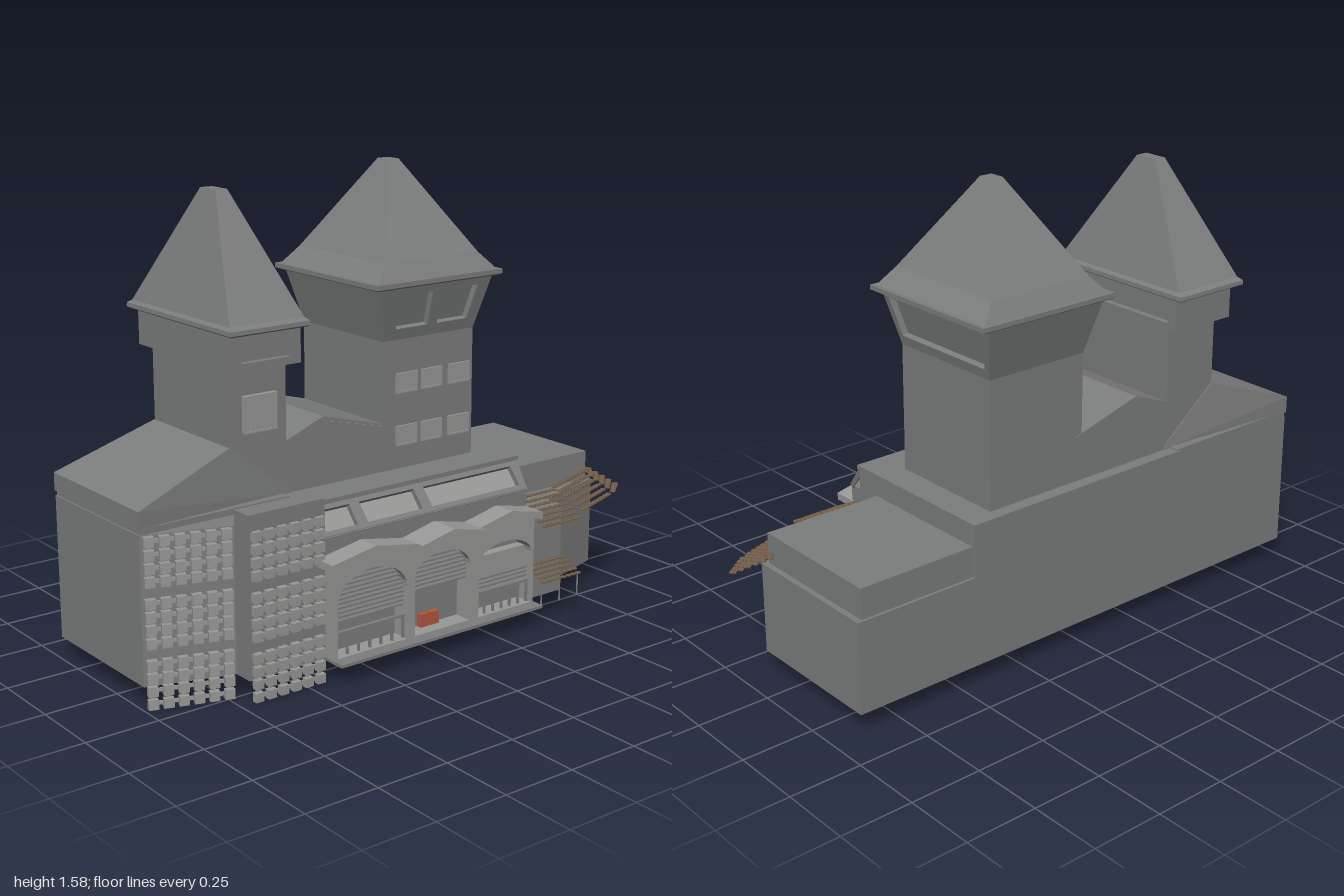
import * as THREE from 'three';
import { ConvexGeometry } from 'three/addons/geometries/ConvexGeometry.js';

const V2 = (a) => a.map(([x, y]) => new THREE.Vector2(x, y));
const mix = THREE.MathUtils.lerp;
const rect = (x0, x1, y0, y1) => [[x0, y0], [x1, y0], [x1, y1], [x0, y1]];

export function createModel() {
  const model = new THREE.Group();
  model.name = 'twinTowerBuilding';
  const paint = (color) => new THREE.MeshStandardMaterial({ color, flatShading: true });
  const stone = paint(0x7c7e7d), light = paint(0x989997), wood = paint(0x75604a), orange = paint(0xb0583f);

  const add = (name, geo, parent = model, mat = stone) => {
    const mesh = new THREE.Mesh(geo, mat);
    mesh.name = name;
    parent.add(mesh);
    return mesh;
  };
  const group = (name) => {
    const g = new THREE.Group();
    g.name = name;
    model.add(g);
    return g;
  };
  const box = (name, x0, x1, y0, y1, z0, z1, parent, mat) =>
    add(name, new THREE.BoxGeometry(x1 - x0, y1 - y0, z1 - z0)
      .translate((x0 + x1) / 2, (y0 + y1) / 2, (z0 + z1) / 2), parent, mat);
  // Flat panel with holes, front face at z = 0
  const panel = (outline, holes, depth) => {
    const s = new THREE.Shape(V2(outline));
    holes.forEach((h) => s.holes.push(new THREE.Path(V2(h))));
    return new THREE.ExtrudeGeometry(s, { depth, bevelEnabled: false }).translate(0, 0, -depth);
  };
  // Footprint given in x, z and raised from y0 to y1
  const prism = (name, pts, y0, y1) => add(name,
    new THREE.ExtrudeGeometry(new THREE.Shape(V2(pts.map(([x, z]) => [x, -z]))),
      { depth: y1 - y0, bevelEnabled: false }).rotateX(-Math.PI / 2).translate(0, y0, 0));
  // Stack of rectangles [y, halfX, halfZ] joined by flat sides
  const loft = (name, cx, cz, rows, parent) => {
    const pos = [], idx = [];
    rows.forEach(([y, hx, hz]) =>
      [[-1, 1], [1, 1], [1, -1], [-1, -1]].forEach(([a, b]) => pos.push(cx + a * hx, y, cz + b * hz)));
    for (let r = 0; r < rows.length - 1; r++) {
      for (let k = 0; k < 4; k++) {
        const a = r * 4 + k, b = r * 4 + (k + 1) % 4;
        idx.push(a, b, b + 4, a, b + 4, a + 4);
      }
    }
    const t = rows.length * 4 - 4;
    idx.push(0, 2, 1, 0, 3, 2, t, t + 1, t + 2, t, t + 2, t + 3);
    let g = new THREE.BufferGeometry();
    g.setAttribute('position', new THREE.Float32BufferAttribute(pos, 3));
    g.setIndex(idx);
    g = g.toNonIndexed();
    g.computeVertexNormals();
    return add(name, g, parent);
  };

  // Main blocks
  prism('mainBody', [[-0.99, -0.37], [0.45, -0.37], [0.45, 0.235], [-0.42, 0.235], [-0.42, 0.31],
    [-0.71, 0.31], [-0.71, 0.24], [-0.99, 0.15]], 0.08, 0.565);
  prism('rightWing', [[0.44, -0.37], [0.9, -0.37], [0.9, 0.15], [0.6, 0.24], [0.6, 0.31], [0.44, 0.31]], 0.08, 0.395);
  box('rightWingUpper', 0.45, 0.88, 0.39, 0.5, -0.36, 0.14);
  box('entranceCore', -0.42, 0.43, 0.08, 0.42, 0.2, 0.29);
  box('entranceFrieze', -0.42, 0.43, 0.4, 0.485, 0.2, 0.31);
  box('roofSlab', -0.45, 0.455, 0.565, 0.58, -0.375, 0.24);
  box('leftRoofSlab', -0.985, -0.44, 0.56, 0.585, -0.37, 0.15);
  box('screenParapet', -0.71, -0.425, 0.56, 0.615, 0.24, 0.315);

  // Sloped roof on the left, tapering in around the small tower
  const wedge = [];
  [[-0.99, 0.58, 0.15, -0.375], [-0.99, 0.64, 0.15, -0.375], [-0.635, 0.768, 0.111, -0.333],
    [-0.4, 0.58, 0.111, -0.333]].forEach(([x, y, zf, zb]) =>
    [zf, zb].forEach((z) => wedge.push(new THREE.Vector3(x, y, z))));
  add('leftRoof', new ConvexGeometry(wedge));

  // Gable between the towers
  const gable = group('gable');
  add('gableWall', panel([[-0.43, 0.57], [0, 0.57], [0, 0.735], [-0.2, 0.79], [-0.275, 0.81], [-0.43, 0.75]], [], 0.44)
    .translate(0, 0, 0.108), gable);
  for (let i = 0; i < 7; i++) {
    const x = -0.25 + i * 0.033;
    box('gableBatten', x, x + 0.01, 0.59, 0.79 - i * 0.008, 0.1, 0.122, gable);
  }

  // Tower head: four leaning wall panels around a smaller core, openings at the front and +x
  const towerHead = (parent, cx, cz, y0, y1, [ax, az], [bx, bz], frontHoles, sideHoles) => {
    const d = 0.022;
    loft('headCore', cx, cz, [[y0, ax - d, az - d], [y1, bx - d, bz - d]], parent);
    [[ax, bx, az, bz, frontHoles], [az, bz, ax, bx, sideHoles], [ax, bx, az, bz, []], [az, bz, ax, bx, []]]
      .forEach(([w0, w1, out0, out1, holes], k) => {
        const h = Math.hypot(y1 - y0, out1 - out0);
        add('headWall', panel([[-w0, 0], [w0, 0], [w1, h], [-w1, h]], holes, d)
          .rotateX(Math.atan2(out1 - out0, y1 - y0)).translate(0, 0, out0)
          .rotateY(k * Math.PI / 2).translate(cx, y0, cz), parent);
      });
  };
  // Framed pale window with vertical bars
  const barredWindow = (parent, x0, x1, y0, y1, n, z) => {
    add('windowFrame', panel(rect(x0, x1, y0, y1), [rect(x0 + 0.006, x1 - 0.006, y0 + 0.006, y1 - 0.006)], 0.015)
      .translate(0, 0, z), parent, light);
    box('windowPane', x0, x1, y0, y1, 0.1, z - 0.006, parent, light);
    for (let i = 1; i <= n; i++) {
      const x = mix(x0, x1, i / (n + 1));
      box('windowBar', x - 0.003, x + 0.003, y0, y1, 0.1, z - 0.002, parent, light);
    }
  };

  // Large tower
  const big = group('largeTower');
  box('largeTowerShaft', -0.033, 0.353, 0.57, 1.03, -0.33, 0.11, big);
  towerHead(big, 0.16, -0.11, 1.02, 1.205, [0.193, 0.22], [0.236, 0.268],
    [[[-0.148, 0.04], [-0.015, 0.04], [-0.015, 0.16], [-0.17, 0.16]],
      [[0.025, 0.04], [0.155, 0.04], [0.177, 0.16], [0.025, 0.16]]],
    [[[-0.205, 0.035], [0.205, 0.035], [0.235, 0.165], [-0.235, 0.165]]]);
  loft('largeTowerRoof', 0.163, -0.113, [[1.2, 0.255, 0.274], [1.206, 0.268, 0.283], [1.222, 0.268, 0.283],
    [1.222, 0.252, 0.27], [1.28, 0.198, 0.235], [1.585, 0.023, 0.027]], big);
  [[0.02, 0.108], [0.128, 0.215], [0.245, 0.337]].forEach(([a, b]) =>
    [0.66, 0.84].forEach((y) => barredWindow(big, a, b, y, y + 0.068, 4, 0.118)));

  // Small tower
  const small = group('smallTower');
  box('smallTowerShaft', -0.638, -0.422, 0.57, 1.03, -0.33, 0.11, small);
  towerHead(small, -0.53, -0.107, 1.015, 1.145, [0.13, 0.27], [0.13, 0.27],
    [rect(-0.09, 0.09, 0.025, 0.105)], [rect(-0.235, 0.235, 0.025, 0.105)]);
  loft('smallTowerRoof', -0.53, -0.113, [[1.13, 0.14, 0.295], [1.136, 0.149, 0.304], [1.15, 0.148, 0.303],
    [1.16, 0.138, 0.285], [1.54, 0.022, 0.043]], small);
  barredWindow(small, -0.588, -0.465, 0.805, 0.925, 7, 0.126);

  // Sloping window band above the entrance
  const band = group('windowBand');
  const bandProfile = (o) => [[-0.1, 0.48], [-0.31 + o, 0.48], [-0.235 + o, 0.567], [-0.1, 0.567]];
  add('bandCore', panel(bandProfile(0.022), [], 0.86).rotateY(Math.PI / 2).translate(0.435, 0, 0), band, light);
  add('bandFrame', panel([[-0.425, 0], [0.435, 0], [0.45, 0.115], [-0.425, 0.115]],
    [[-0.405, -0.28], [-0.24, -0.015], [0.025, 0.41]].map(([a, b]) => rect(a, b, 0.022, 0.095)), 0.018)
    .rotateX(-Math.atan2(0.075, 0.087)).translate(0, 0.48, 0.312), band);
  [-0.425, 0.42].forEach((x) => add('bandEnd', panel(bandProfile(0), [], 0.015)
    .rotateY(Math.PI / 2).translate(x + 0.015, 0, 0), band));

  // Entrance front with three arches, louvres and railings
  const entrance = group('entrance');
  const arches = [[-0.405, -0.125, 0.27, 0.365], [-0.092, 0.142, 0.29, 0.36], [0.182, 0.418, 0.275, 0.335]];
  const archHole = ([a, b, s, t]) => {
    const pts = [[a, 0.09], [b, 0.09]];
    for (let i = 0; i <= 14; i++) {
      const u = Math.PI * i / 14;
      pts.push([(a + b) / 2 + (b - a) / 2 * Math.cos(u), s + (t - s) * Math.sin(u)]);
    }
    return pts;
  };
  add('archWall', panel(rect(-0.42, 0.43, 0.08, 0.42), arches.map(archHole), 0.075).translate(0, 0, 0.355), entrance, light);
  arches.forEach(([a, b, s, t], k) => {
    const top = k === 2 ? 0.22 : t - 0.01;
    for (let y = [0.2, 0.235, 0.165][k]; y < top; y += 0.015) {
      const half = (b - a) / 2 * (y > s ? Math.sqrt(1 - ((y - s) / (t - s)) ** 2) : 1), c = (a + b) / 2;
      box('archLouvre', c - half, c + half, y, y + 0.006, 0.29, 0.335, entrance);
    }
    if (k === 1) return;
    box('railing', a, b, 0.165, 0.172, 0.33, 0.345, entrance);
    for (let i = 0; i <= 6; i++) {
      const x = mix(a + 0.004, b - 0.004, i / 6);
      box('railingPost', x - 0.003, x + 0.003, 0.085, 0.17, 0.333, 0.342, entrance);
    }
  });
  box('archInfill', 0.182, 0.418, 0.225, 0.29, 0.28, 0.325, entrance, light);
  box('entranceStep', -0.42, 0.44, 0.075, 0.085, 0.28, 0.395, entrance);
  [-0.03, 0.012].forEach((x) => box('entranceDoor', x, x + 0.036, 0.085, 0.135, 0.28, 0.31, entrance, orange));

  // Zigzag canopy
  [[-0.45, -0.11, 0.39], [-0.11, 0.155, 0.415], [0.155, 0.435, 0.39]].forEach(([a, b, z]) => {
    const c = (a + b) / 2;
    add('canopy', panel([[a, 0.395], [c, 0.425], [b, 0.395], [b, 0.42], [c, 0.45], [a, 0.42]], [], z - 0.3)
      .translate(0, 0, z), entrance, light);
  });

  // Screens of small square blocks on a thin lattice, in three tiers
  const screen = (name, ax, az, bx, bz, size) => {
    const g = group(name), len = Math.hypot(bx - ax, bz - az), step = len / 6;
    g.position.set(ax, 0, az);
    g.rotation.y = -Math.atan2(bz - az, bx - ax);
    for (let t = 0; t < 3; t++) {
      const y0 = 0.005 + t * 0.197;
      for (let c = 0; c < 6; c++) {
        const x = (c + 0.5) * step;
        box('screenUpright', x - 0.006, x + 0.006, y0 + 0.01, y0 + 0.16, 0, 0.006, g, light);
        for (let r = 0; r < 4; r++) {
          const y = y0 + 0.021 + r * 0.0425;
          box('screenBlock', x - size / 2, x + size / 2, y - size / 2, y + size / 2, 0, 0.02, g, light);
        }
      }
      for (let r = 0; r < 4; r++) {
        const y = y0 + 0.021 + r * 0.0425;
        box('screenRail', step / 2, len - step / 2, y - 0.006, y + 0.006, 0, 0.006, g, light);
      }
    }
  };
  screen('leftScreen', -0.99, 0.152, -0.715, 0.242, 0.032);
  screen('frontScreen', -0.708, 0.31, -0.425, 0.31, 0.03);

  // Stepped wooden awnings of short level boards, from inner edge a-b out to outer edge c-d
  const awning = (name, a, b, c, d, yIn, yOut, n, rows) => {
    const g = group(name);
    const at = (u, v) => new THREE.Vector3(mix(mix(a[0], b[0], u), mix(c[0], d[0], u), v), mix(yIn, yOut, v),
      mix(mix(a[1], b[1], u), mix(c[1], d[1], u), v));
    const bar = (part, p, q, w) => {
      const m = add(part, new THREE.BoxGeometry(w, 0.004, p.distanceTo(q)), g, wood);
      m.position.copy(p).add(q).multiplyScalar(0.5);
      m.lookAt(q);
    };
    for (let j = 0; j < rows; j++) {
      for (let i = 0; i < n; i++) {
        const u = (i + 0.5) / n, p = at(u, (j + 0.05) / rows), q = at(u, (j + 0.95) / rows);
        p.y = q.y = mix(yIn, yOut, (j + 0.5) / rows);
        bar('board', p, q, 0.015);
      }
      bar('crossSlat', at(0, (j + 0.5) / rows), at(1, (j + 0.5) / rows), 0.004);
    }
  };
  awning('upperAwning', [0.435, 0.25], [0.615, 0.25], [0.435, 0.4], [0.62, 0.4], 0.44, 0.36, 8, 7);
  awning('cornerAwning', [0.61, 0.24], [0.84, 0.16], [0.66, 0.36], [0.88, 0.28], 0.445, 0.365, 10, 6);
  awning('endAwning', [0.845, 0.17], [0.9, 0.08], [0.9, 0.275], [0.995, 0.2], 0.44, 0.365, 5, 6);
  awning('lowerAwning', [0.435, 0.31], [0.615, 0.31], [0.435, 0.4], [0.62, 0.4], 0.21, 0.16, 8, 5);
  [0.44, 0.525, 0.61].forEach((x) => box('awningPost', x, x + 0.004, 0.08, 0.165, 0.383, 0.387));

  return model;
}
